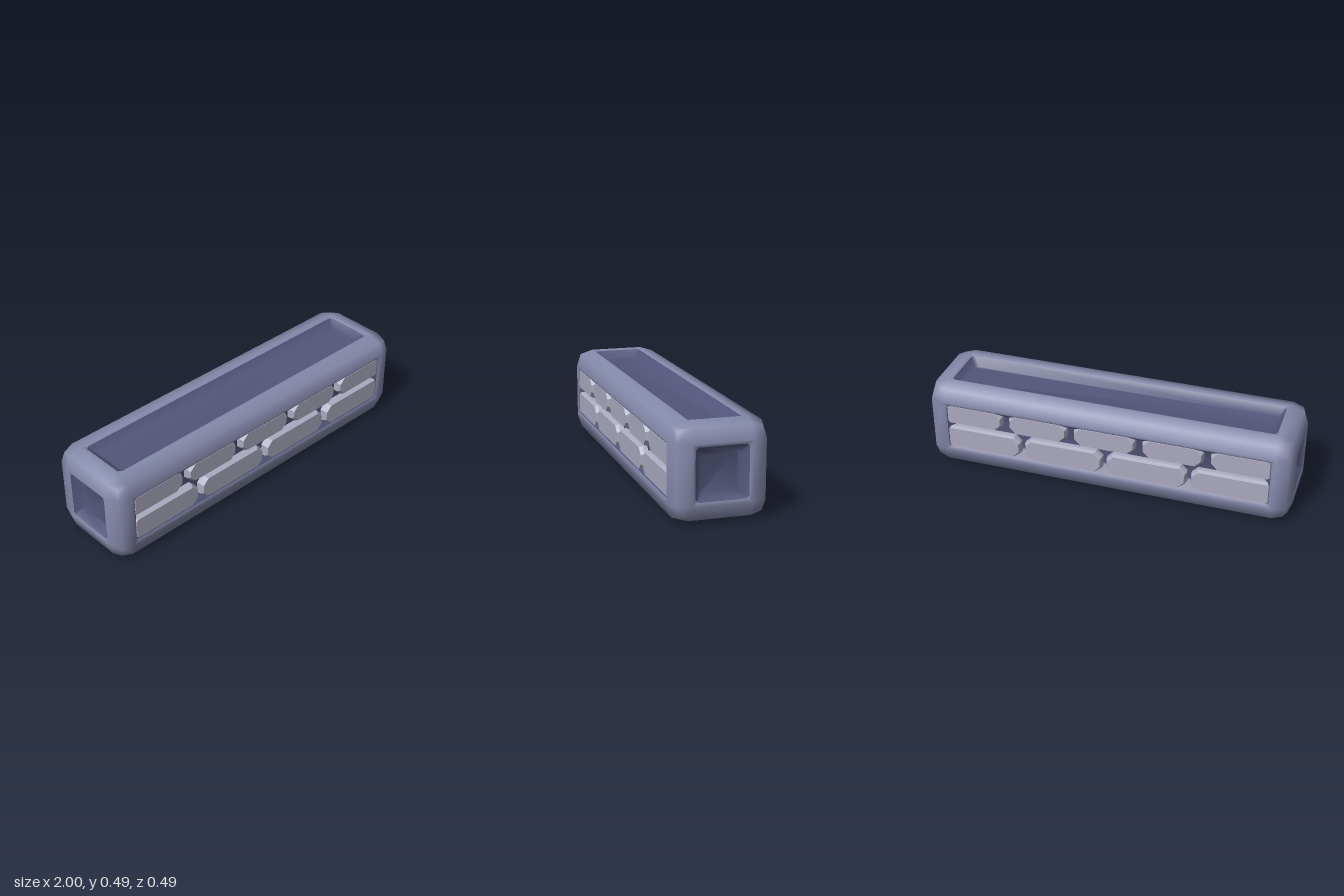
import * as THREE from 'three';
import { mergeVertices } from 'three/addons/utils/BufferGeometryUtils.js';

// Half sizes along x, y, z at each step from the outside of the block inward
const H = [1, 0.245, 0.245];          // outer faces
const M = [0.976, 0.222, 0.222];      // middle of the rounded edges
const S = [0.963, 0.208, 0.208];      // rounded corners
const C = [0.905, 0.15, 0.15];        // flat part of each face
const L = [0.887, 0.133, 0.133];      // lip of the recess
const F = [0.85, 0.095, 0.095];       // floor of the recess
const CENTRE_Y = 0.245;

const shrink = (a, d) => a.map((v) => v - d);

function loft(tris, inner, outer) {
  const n = inner.length;
  for (let i = 0; i < n; i++) {
    const j = (i + 1) % n;
    tris.push(inner[i], outer[i], outer[j], inner[i], outer[j], inner[j]);
  }
}

function cap(tris, ring) {
  for (let i = 1; i < ring.length - 1; i++) tris.push(ring[0], ring[i], ring[i + 1]);
}

function toGeometry(tris, smooth) {
  let geo = new THREE.BufferGeometry().setFromPoints(tris);
  if (smooth) geo = mergeVertices(geo, 1e-4);
  geo.computeVertexNormals();
  return geo;
}

// Eight-sided ring on the face that looks along axis n
function faceRing(n, sign, outer, inner, height) {
  const u = (n + 1) % 3, v = (n + 2) % 3;
  const a = outer[u], b = outer[v], c = inner[u], d = inner[v];
  const flat = [[a, -d], [a, d], [c, b], [-c, b], [-a, d], [-a, -d], [-c, -b], [c, -b]];
  return flat.map(([p, q]) => {
    const xyz = [0, 0, 0];
    xyz[n] = sign * height;
    xyz[u] = sign * p;   // mirrored with the face so that the winding stays outward
    xyz[v] = q;
    return new THREE.Vector3(...xyz);
  });
}

// Rounded frame and the sunken panels of all six faces
function buildBlock() {
  const frame = [], panels = [];
  for (let n = 0; n < 3; n++) {
    for (const sign of [1, -1]) {
      const edge = faceRing(n, sign, M, C, M[n]);
      const flat = faceRing(n, sign, C, C, H[n]);
      const lip = faceRing(n, sign, L, shrink(L, 0.015), H[n] - 0.008);
      const floor = faceRing(n, sign, F, shrink(F, 0.015), H[n] - 0.05);
      loft(frame, flat, edge);
      loft(frame, lip, flat);
      loft(panels, floor, lip);
      cap(panels, floor);
      // corner patches
      for (const k of [1, 3, 5, 7]) {
        const p = edge[k], q = edge[(k + 1) % 8];
        const mid = p.clone().add(q);
        const corner = new THREE.Vector3(
          Math.sign(mid.x) * S[0], Math.sign(mid.y) * S[1], Math.sign(mid.z) * S[2]);
        frame.push(p, corner, q);
      }
    }
  }
  return [toGeometry(frame, true), toGeometry(panels, true)];
}

// Brick with cut corners and a bevelled front
function brickGeometry(x0, x1, y0, y1, cutLeft, cutRight) {
  const ring = (inset, z) => {
    const l = x0 + inset, r = x1 - inset, b = y0 + inset, t = y1 - inset;
    const cl = cutLeft, cr = cutRight;
    return [
      [r, b + cr], [r, t - cr], [r - cr, t], [l + cl, t],
      [l, t - cl], [l, b + cl], [l + cl, b], [r - cr, b],
    ].map(([x, y]) => new THREE.Vector3(x, y, z));
  };
  const base = ring(-0.004, 0.18), shoulder = ring(-0.002, 0.218), face = ring(0.006, 0.236);
  const tris = [];
  loft(tris, shoulder, base);
  loft(tris, face, shoulder);
  cap(tris, face);
  return toGeometry(tris, false);
}

// Row of bricks, mirrored about the middle
function addRow(group, material, spans, y0, y1, name) {
  spans.forEach(([x0, x1], i) => {
    const cutLeft = i === 0 ? 0.01 : 0.033;
    const cutRight = i === spans.length - 1 ? 0.01 : 0.033;
    const brick = new THREE.Mesh(brickGeometry(x0, x1, y0, y1, cutLeft, cutRight), material);
    brick.name = name;
    group.add(brick);
  });
}

export function createModel() {
  const model = new THREE.Group();
  model.name = 'brickBlock';

  const mat = (name, color) => {
    const m = new THREE.MeshStandardMaterial({ color });
    m.name = name;
    return m;
  };
  const frameMat = mat('slate blue', 0x858aab);
  const panelMat = mat('dark indigo', 0x53567a);
  const brickMat = mat('pale grey', 0xaaabc0);

  const [frameGeo, panelGeo] = buildBlock();
  const frame = new THREE.Mesh(frameGeo, frameMat);
  frame.name = 'frame';
  const panels = new THREE.Mesh(panelGeo, panelMat);
  panels.name = 'sunkenPanels';
  frame.position.y = panels.position.y = CENTRE_Y;
  model.add(frame, panels);

  // Brickwork on the front and, turned around, on the back
  const upper = [[-0.888, -0.575], [-0.53, -0.21], [-0.165, 0.165], [0.21, 0.53], [0.575, 0.888]];
  const lower = [[-0.888, -0.475], [-0.445, -0.015], [0.015, 0.445], [0.475, 0.888]];
  for (const [name, turn] of [['frontBricks', 0], ['backBricks', Math.PI]]) {
    const wall = new THREE.Group();
    wall.name = name;
    addRow(wall, brickMat, upper, 0.265, 0.38, 'upperBrick');
    addRow(wall, brickMat, lower, 0.115, 0.24, 'lowerBrick');
    wall.rotation.y = turn;
    model.add(wall);
  }
  return model;
}
